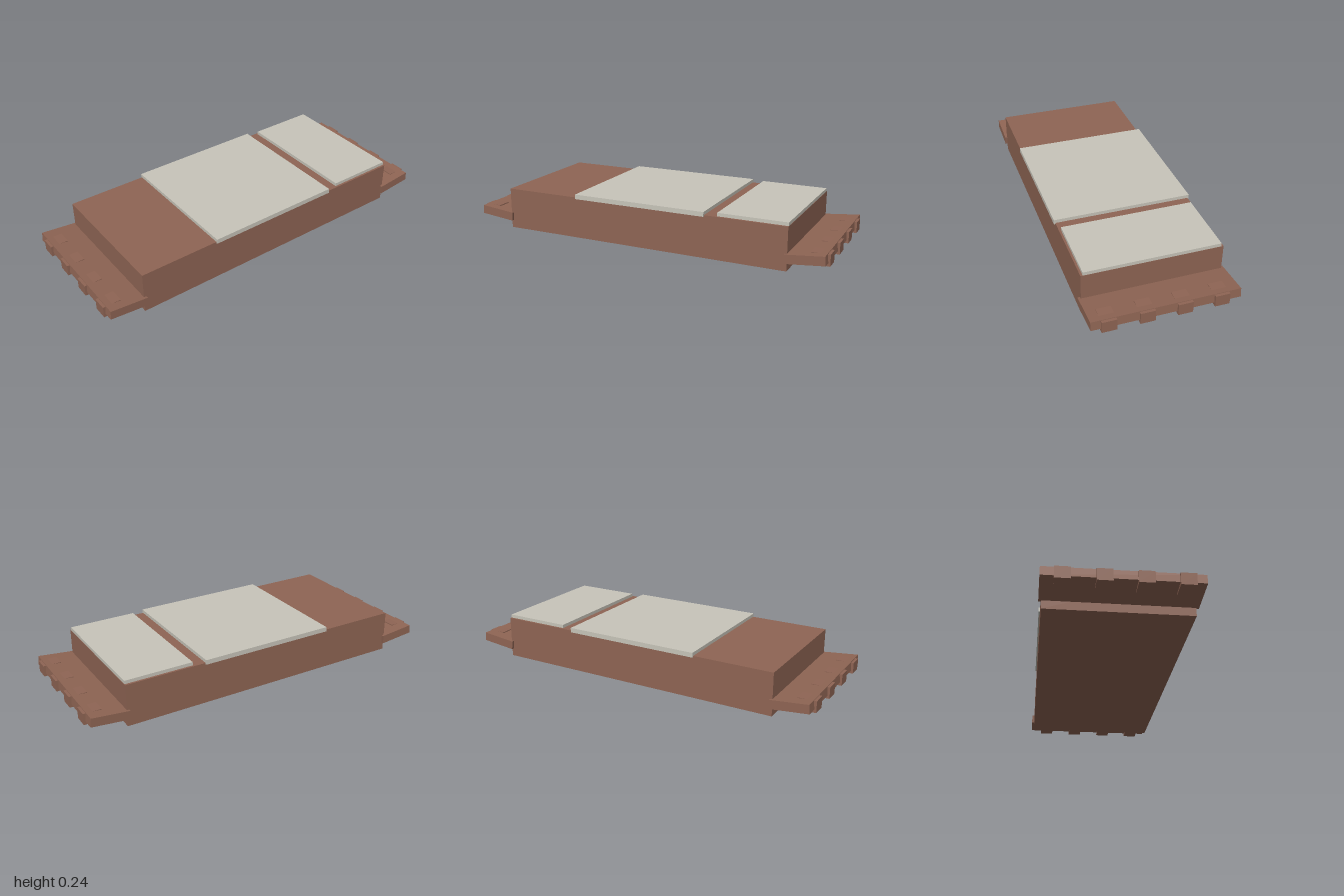
import * as THREE from 'three';

export function createModel() {
  const group = new THREE.Group();
  const brown = new THREE.MeshStandardMaterial({ color: 0x8f6554 });
  brown.name = 'brown';
  const paleGrey = new THREE.MeshStandardMaterial({ color: 0xc8c5ba });
  paleGrey.name = 'paleGrey';

  const box = (name, material, size, position, parent = group) => {
    const mesh = new THREE.Mesh(new THREE.BoxGeometry(...size), material);
    mesh.name = name;
    mesh.position.set(...position);
    parent.add(mesh);
    return mesh;
  };

  // main slab
  box('body', brown, [1.6, 0.224, 0.716], [0, 0.112, 0]);

  // cover plates on top, the large one overhanging the sides
  box('largeCover', paleGrey, [0.742, 0.025, 0.73], [-0.002, 0.2295, 0]);
  box('smallCover', paleGrey, [0.364, 0.02, 0.694], [0.617, 0.232, 0]);

  // tilted end flaps, each with four square teeth
  for (const side of [1, -1]) {
    const end = new THREE.Group();
    end.name = side > 0 ? 'leftEnd' : 'rightEnd';
    group.add(end);

    const flap = box('flap', brown, [0.2, 0.047, 0.742], [side * 0.888, 0.075, 0], end);
    flap.rotation.z = side * 0.1;

    for (let i = 0; i < 4; i++) {
      box('tooth', brown, [0.095, 0.06, 0.074], [side * 0.9525, 0.075, -0.272 + i * 0.1857], end);
    }
  }

  return group;
}
